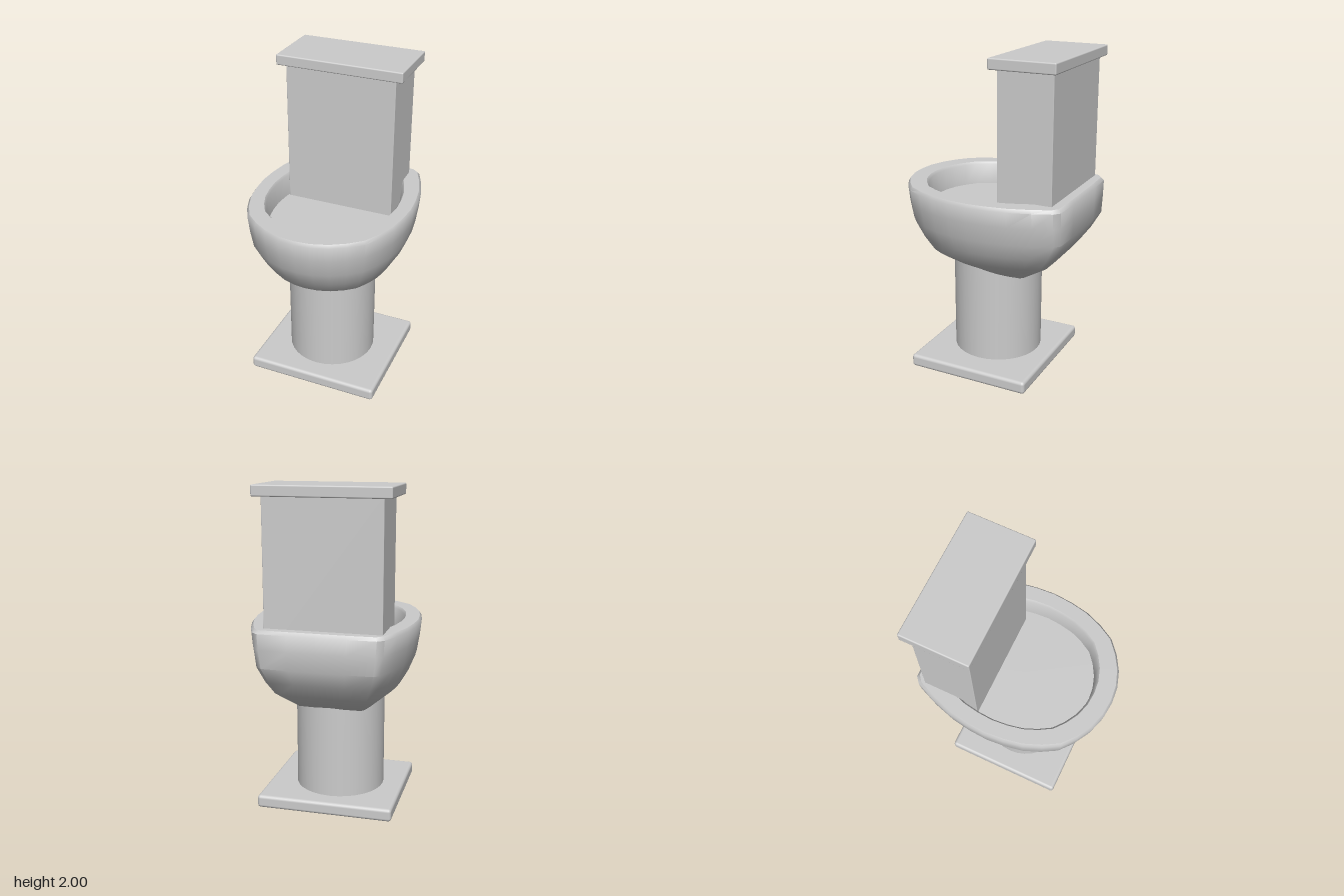
import * as THREE from 'three';
import { toCreasedNormals } from 'three/addons/utils/BufferGeometryUtils.js';
import { RoundedBoxGeometry } from 'three/addons/geometries/RoundedBoxGeometry.js';

const material = new THREE.MeshStandardMaterial({ color: 0xcccccc });

function addMesh(group, name, geometry) {
  const mesh = new THREE.Mesh(geometry, material);
  mesh.name = name;
  group.add(mesh);
  return mesh;
}

// Box given by its extents, with softened edges
function addBox(group, name, [x0, x1], [y0, y1], [z0, z1], radius) {
  const box = new RoundedBoxGeometry(x1 - x0, y1 - y0, z1 - z0, 3, radius);
  addMesh(group, name, box).position.set((x0 + x1) / 2, (y0 + y1) / 2, (z0 + z1) / 2);
}

// Bowl: a rounded outline, flat at the back, scaled through a series of rings
function bowlGeometry() {
  // Half outline from front to back, normalised to the bowl's half width and depth
  const half = [
    [0, 1], [0.2, 0.983], [0.4, 0.925], [0.58, 0.83], [0.74, 0.71], [0.85, 0.54], [0.935, 0.35],
    [0.98, 0.14], [1, -0.07], [0.985, -0.28], [0.945, -0.5], [0.86, -0.74], [0.765, -0.935],
    [0.69, -0.99], [0.35, -1], [0, -1],
  ];
  const outline = [...half, ...half.slice(1, -1).reverse().map(([x, z]) => [-x, z])];
  // Height, half width, front depth, back depth, drop at the back
  const rings = [
    [1.04, 0, 0, 0, 0], [1.04, 0.39, 0.425, 0.42, 0], [1.17, 0.4, 0.437, 0.44, 0],
    [1.185, 0.41, 0.45, 0.45, 0], [1.185, 0.495, 0.558, 0.555, 0], [1.165, 0.508, 0.57, 0.572, 0],
    [1.07, 0.498, 0.56, 0.572, 0], [0.96, 0.48, 0.54, 0.57, 0], [0.86, 0.438, 0.485, 0.515, 0],
    [0.77, 0.385, 0.42, 0.45, 0], [0.7, 0.28, 0.285, 0.27, 0.05], [0.68, 0, 0, 0, 0],
  ];
  const positions = [];
  const index = [];
  const n = outline.length;
  rings.forEach(([y, width, front, back, drop], i) => {
    outline.forEach(([x, z], j) => {
      positions.push(x * width, y - drop * Math.max(0, -z), z * (z > 0 ? front : back));
      if (i === rings.length - 1) return;
      const a = i * n + j;
      const b = i * n + (j + 1) % n;
      if (i > 0) index.push(a, a + n, b);
      if (i < rings.length - 2) index.push(b, a + n, b + n);
    });
  });
  const geometry = new THREE.BufferGeometry();
  geometry.setAttribute('position', new THREE.Float32BufferAttribute(positions, 3));
  geometry.setIndex(index);
  return toCreasedNormals(geometry, 0.75);
}

export function createModel() {
  const group = new THREE.Group();
  group.name = 'toilet';

  // Foot and pedestal
  addBox(group, 'basePlate', [-0.41, 0.44], [0, 0.08], [-0.39, 0.4], 0.02);
  const pedestal = new THREE.CylinderGeometry(0.28, 0.28, 0.66, 32);
  addMesh(group, 'pedestal', pedestal).position.y = 0.4;

  // Bowl with its rim and inner floor
  addMesh(group, 'bowl', bowlGeometry());

  // Water tank standing on the back of the bowl
  addBox(group, 'tank', [-0.37, 0.33], [1.0, 1.95], [-0.5, -0.155], 0.004);
  addBox(group, 'tankLid', [-0.42, 0.38], [1.935, 2], [-0.53, -0.12], 0.008);

  return group;
}
